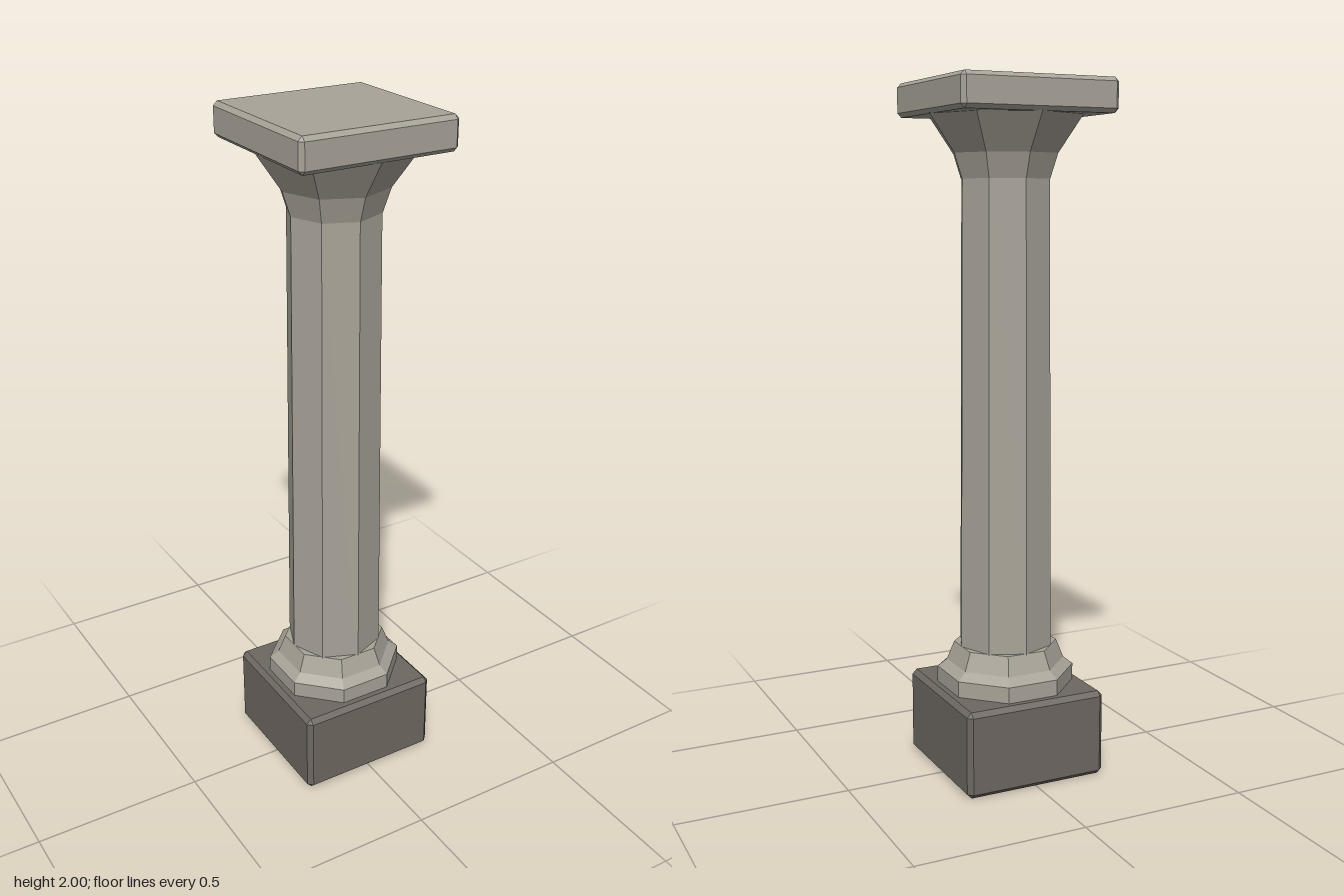
import * as THREE from 'three';
import { ConvexGeometry } from 'three/addons/geometries/ConvexGeometry.js';

const SIDES = 8;

// Box with chamfered edges and corners, standing on y0
function chamferedBox(half, y0, y1, c) {
  const hy = (y1 - y0) / 2;
  const points = [];
  for (const sx of [-1, 1]) for (const sy of [-1, 1]) for (const sz of [-1, 1]) {
    points.push(
      new THREE.Vector3(sx * half, sy * (hy - c), sz * (half - c)),
      new THREE.Vector3(sx * (half - c), sy * hy, sz * (half - c)),
      new THREE.Vector3(sx * (half - c), sy * (hy - c), sz * half));
  }
  return new ConvexGeometry(points).translate(0, (y0 + y1) / 2, 0);
}

// Faceted eight-sided turning from [radius, height] pairs, bottom to top
function facetedLathe(profile, turn = 0) {
  const points = profile.map(([r, y]) => new THREE.Vector2(r, y));
  const geometry = new THREE.LatheGeometry(points, SIDES, turn).toNonIndexed();
  geometry.computeVertexNormals();
  return geometry;
}

export function createModel() {
  const lightStone = new THREE.MeshStandardMaterial({ color: 0xa8a398 });
  lightStone.name = 'light stone';
  const darkStone = new THREE.MeshStandardMaterial({ color: 0x6e6861 });
  darkStone.name = 'dark stone';

  const column = new THREE.Group();
  column.name = 'column';
  const add = (name, geometry, material) => {
    const mesh = new THREE.Mesh(geometry, material);
    mesh.name = name;
    column.add(mesh);
  };

  // Square block at the foot
  add('plinth', chamferedBox(0.217, 0, 0.255, 0.014), darkStone);

  // Stepped moulding, flat sides facing the front
  add('baseMoulding', facetedLathe(
    [[0.202, 0.25], [0.202, 0.302], [0.174, 0.324], [0.152, 0.378], [0.1, 0.378]],
    Math.PI / SIDES), lightStone);

  // Tapered shaft, corners facing the front
  add('shaft', facetedLathe([[0.143, 0.3], [0.132, 1.735]]), lightStone);

  // Flared capital under the slab
  add('capital', facetedLathe(
    [[0.133, 1.73], [0.156, 1.8], [0.23, 1.906], [0, 1.906]]), lightStone);

  // Square slab on top
  add('abacus', chamferedBox(0.235, 1.904, 2, 0.012), lightStone);

  return column;
}
